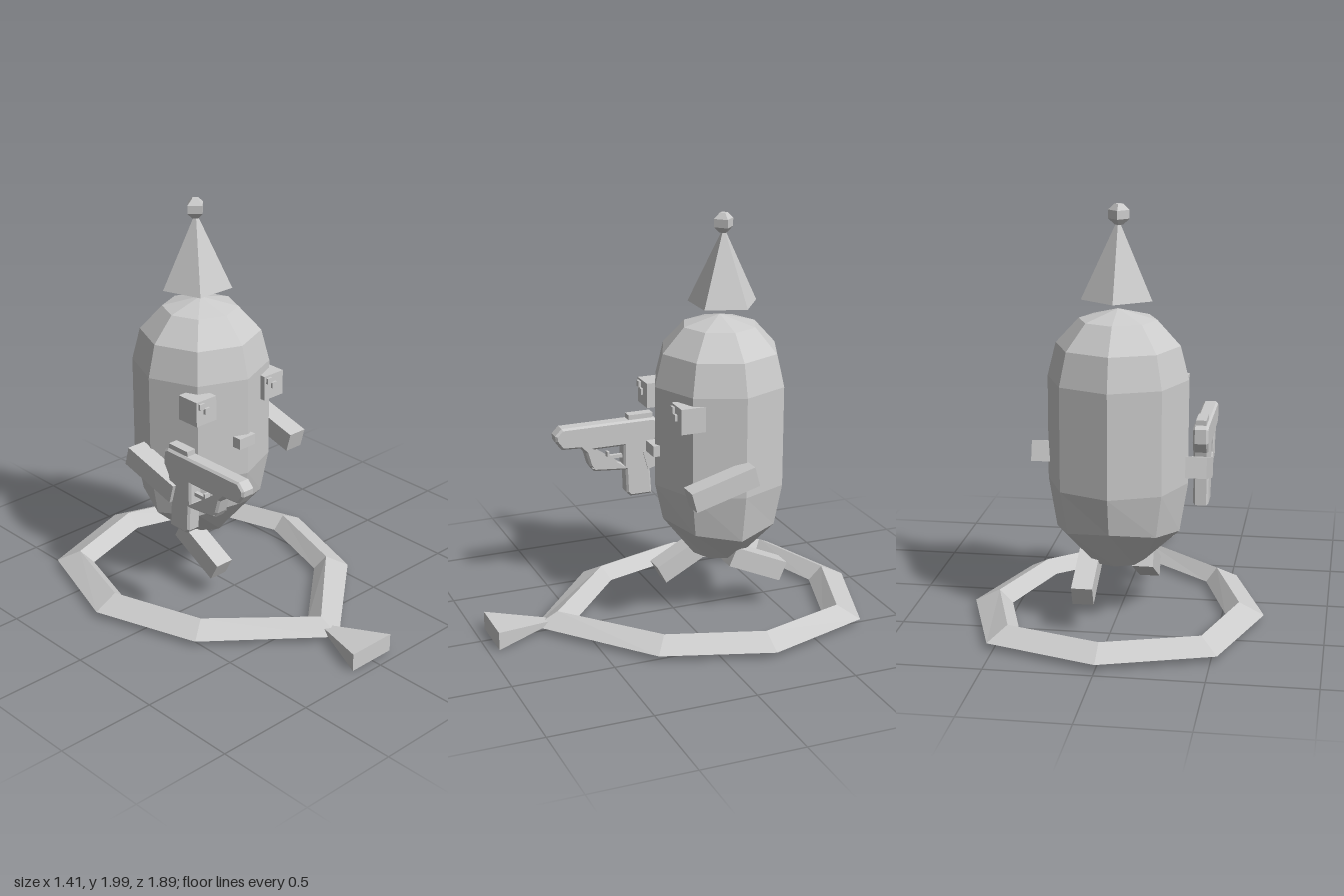
import * as THREE from 'three';

const mat = new THREE.MeshStandardMaterial({ color: 0xcccccc, flatShading: true, side: THREE.DoubleSide });
const v2 = (pts) => pts.map(([x, y]) => new THREE.Vector2(x, y));

export function createModel() {
  const model = new THREE.Group();

  const add = (name, geometry, x = 0, y = 0, z = 0, parent = model) => {
    const mesh = new THREE.Mesh(geometry, mat);
    mesh.name = name;
    mesh.position.set(x, y, z);
    parent.add(mesh);
    return mesh;
  };
  const box = (name, w, h, d, x, y, z, tilt = 0, parent = model) => {
    const mesh = add(name, new THREE.BoxGeometry(w, h, d), x, y, z, parent);
    mesh.rotation.x = tilt;
    return mesh;
  };

  // Eight-sided body; the lower ring rises at the front and back
  const body = new THREE.LatheGeometry(v2([
    [0, 0.25], [0.13, 0.29], [0.295, 0.44], [0.335, 0.68],
    [0.335, 1.18], [0.295, 1.34], [0.185, 1.46], [0, 1.51],
  ]), 8);
  const p = body.attributes.position;
  for (let i = 0; i < p.count; i++) {
    if (Math.abs(p.getY(i) - 0.44) < 0.01) p.setY(i, 0.44 + 0.06 * (p.getZ(i) / 0.295) ** 2);
  }
  add('body', body, 0, 0, -0.24);

  // Five-sided party hat with a faceted ball
  const hat = add('hat', new THREE.ConeGeometry(0.175, 0.37, 5), -0.005, 1.745, -0.26);
  hat.rotation.y = Math.PI;
  add('hatBall', new THREE.LatheGeometry(v2([
    [0, -0.048], [0.02, -0.048], [0.05, -0.02], [0.05, 0.02], [0.02, 0.048], [0, 0.048],
  ]), 4), -0.008, 1.95, -0.26);

  // Block eyes with two small pupil blocks each
  for (const [side, x] of [['right', -0.242], ['left', 0.2]]) {
    box(side + 'Eye', 0.125, 0.125, 0.125, x, 1.078, 0.003);
    box(side + 'PupilUpper', 0.03, 0.03, 0.03, x - 0.035, 1.115, 0.062);
    box(side + 'PupilLower', 0.03, 0.03, 0.03, x - 0.003, 1.085, 0.062);
  }
  box('mouth', 0.1, 0.055, 0.1, -0.02, 0.863, 0.065);

  // Arms and striding legs
  box('leftArm', 0.1, 0.1, 0.335, 0.363, 0.77, -0.1, 0.27);
  box('rightArm', 0.1, 0.1, 0.335, -0.378, 0.73, -0.145, 0.27);
  box('rightLeg', 0.1, 0.1, 0.3, -0.12, 0.23, -0.1, 0.49);
  box('leftLeg', 0.1, 0.1, 0.3, 0.127, 0.25, -0.385, -0.42);

  // Float ring: a triangular section (outer, crest, inner) swept round eight corners
  const half = [
    [[0, -0.95], [0, -0.83], [0, -0.76]],
    [[0.53, -0.775], [0.45, -0.685], [0.4, -0.635]],
    [[0.705, -0.24], [0.585, -0.24], [0.52, -0.24]],
    [[0.53, 0.29], [0.435, 0.225], [0.385, 0.19]],
    [[0, 0.73], [0, 0.61], [0, 0.52]],
  ];
  const mirrored = half.slice(1, 4).reverse().map((s) => s.map(([x, z]) => [-x, z]));
  const sections = [...half, ...mirrored];
  const heights = [0.035, 0.095, 0.03];
  const ringPos = [], ringIndex = [];
  sections.forEach((section, i) => {
    const next = (i + 1) % sections.length;
    section.forEach(([x, z], j) => {
      ringPos.push(x, heights[j], z);
      const k = (j + 1) % 3;
      const a = i * 3 + j, b = i * 3 + k, c = next * 3 + k, d = next * 3 + j;
      ringIndex.push(a, b, c, a, c, d);
    });
  });
  const ring = new THREE.BufferGeometry();
  ring.setAttribute('position', new THREE.Float32BufferAttribute(ringPos, 3));
  ring.setIndex(ringIndex);
  ring.computeVertexNormals();
  add('floatRing', ring);

  // Flared stopper: a box pinched towards its back end
  const stopper = new THREE.BoxGeometry(0.256, 0.09, 0.3);
  const s = stopper.attributes.position;
  for (let i = 0; i < s.count; i++) {
    if (s.getZ(i) < 0) s.setXY(i, s.getX(i) * 0.14, s.getY(i) * 0.15);
  }
  stopper.computeVertexNormals();
  add('ringStopper', stopper, -0.003, 0.05, 0.795);

  // Toy pistol: bevelled side profile with an open trigger guard
  const pistol = new THREE.Group();
  pistol.name = 'toyPistol';
  pistol.position.x = -0.372;
  model.add(pistol);
  const profile = new THREE.Shape(v2([
    [0.455, 0.905], [0.49, 0.87], [0.487, 0.84], [0.455, 0.795], [0.36, 0.79], [0.33, 0.76],
    [0.31, 0.69], [0.29, 0.66], [0.12, 0.645], [0.115, 0.52], [0.095, 0.5], [-0.02, 0.5],
    [-0.01, 0.65], [-0.03, 0.77], [-0.06, 0.82], [-0.055, 0.89], [-0.03, 0.905],
  ]));
  profile.holes.push(new THREE.Path(v2([[0.29, 0.775], [0.13, 0.775], [0.13, 0.672], [0.29, 0.685]])));
  const frame = new THREE.ExtrudeGeometry(profile, {
    depth: 0.055, bevelEnabled: true, bevelThickness: 0.01, bevelSize: 0.01, bevelOffset: -0.01, bevelSegments: 1,
  });
  frame.translate(0, 0, -0.0275);
  frame.rotateY(-Math.PI / 2);
  add('pistolFrame', frame, 0, 0, 0, pistol);
  box('pistolSight', 0.05, 0.05, 0.13, 0, 0.905, 0.035, 0, pistol);
  box('triggerBar', 0.02, 0.018, 0.1, 0, 0.715, 0.16, 0, pistol);
  box('triggerPlate', 0.03, 0.06, 0.012, 0, 0.715, 0.205, 0, pistol);

  return model;
}
